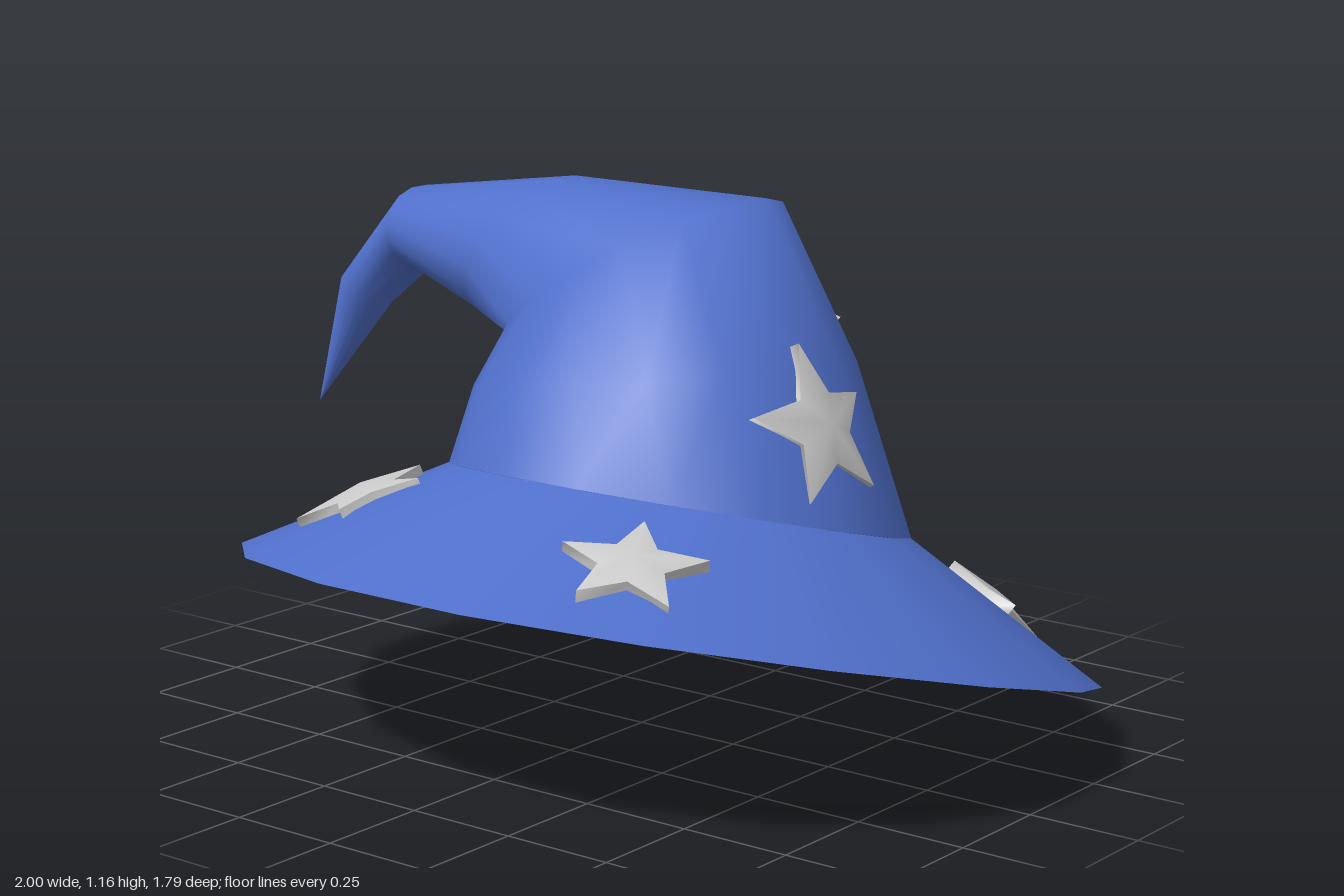
import * as THREE from 'three';

const SIDES = 16;
const TILT = 0.267;
const blue = new THREE.MeshStandardMaterial({ color: 0x5070cc });
const grey = new THREE.MeshStandardMaterial({ color: 0xcccccc });

// Skin over oval sections: { c: centre, u: first half-axis, v: second half-axis, lift: raise at both sides }
function loft(name, sections) {
  const pos = [], index = [];
  sections.forEach(({ c, u, v, lift = 0 }, i) => {
    for (let j = 0; j < SIDES; j++) {
      const a = ((j + 0.5) / SIDES) * Math.PI * 2, ca = Math.cos(a), sa = Math.sin(a);
      for (let k = 0; k < 3; k++) {
        pos.push(c[k] + u[k] * ca + v[k] * sa + (k === 1 ? lift * ca * ca : 0));
      }
      if (i + 1 < sections.length) {
        const p = i * SIDES + j, q = i * SIDES + (j + 1) % SIDES;
        index.push(p, p + SIDES, q, q, p + SIDES, q + SIDES);
      }
    }
  });
  const geo = new THREE.BufferGeometry();
  geo.setAttribute('position', new THREE.Float32BufferAttribute(pos, 3));
  geo.setIndex(index);
  geo.computeVertexNormals();
  const mesh = new THREE.Mesh(geo, blue);
  mesh.name = name;
  return mesh;
}

// Level round section for the brim
const ring = (r, y, z = 0, lift = 0) => ({ c: [0, y, z], u: [r, 0, 0], v: [0, 0, r], lift });

// Five-pointed star with a raised middle, bent backwards around a surface of radius bend
function star(name, size, bend, position, normal, tip) {
  const pos = [], index = [];
  const add = (x, y, z) => pos.push(x, y, z - (x * x) / (2 * bend));
  const outline = (z) => {
    for (let i = 0; i < 10; i++) {
      const a = Math.PI / 2 + (i * Math.PI) / 5, r = i % 2 ? size * 0.45 : size;
      add(r * Math.cos(a), r * Math.sin(a), z);
    }
  };
  add(0, 0, 0.04);
  outline(0.02); // face
  outline(0.02); // side, top edge
  outline(-0.03); // side, lower edge
  for (let i = 0; i < 10; i++) {
    const n = (i + 1) % 10;
    index.push(0, 1 + i, 1 + n);
    index.push(11 + i, 21 + i, 11 + n, 11 + n, 21 + i, 21 + n);
  }
  const geo = new THREE.BufferGeometry();
  geo.setAttribute('position', new THREE.Float32BufferAttribute(pos, 3));
  geo.setIndex(index);
  geo.computeVertexNormals();
  const mesh = new THREE.Mesh(geo, grey);
  const z = new THREE.Vector3(...normal).normalize();
  const x = new THREE.Vector3(...tip).cross(z).normalize();
  const y = z.clone().cross(x);
  mesh.quaternion.setFromRotationMatrix(new THREE.Matrix4().makeBasis(x, y, z));
  mesh.position.set(...position);
  mesh.name = name;
  return mesh;
}

export function createModel() {
  const hat = new THREE.Group();
  hat.name = 'wizardHat';

  // Tilted brim, hollow underneath
  const brim = new THREE.Group();
  brim.name = 'brim';
  brim.position.set(0.072, 0.247, 0);
  brim.rotation.x = -TILT;
  const rim = ring(0.948, 0, 0, 0.02);
  brim.add(loft('brimTop', [rim, ring(0.507, 0.264, 0.03)]));
  brim.add(loft('brimUnderside', [ring(0.33, 0.2, 0.02), ring(0.515, 0.085, 0.01), rim]));
  brim.add(loft('innerLining', [ring(0, 0.6), ring(0.26, 0.52), ring(0.33, 0.2, 0.02)]));

  // Stars on the brim: [x, z, tip x, tip z, size]
  [
    [0.36, 0.64, 0, 1, 0.155],
    [-0.46, 0.515, 0.35, -1, 0.155],
    [0.44, -0.57, -0.25, -1, 0.145],
    [-0.7, -0.1, 0.05, -1, 0.17],
  ].forEach(([x, z, tx, tz, size]) => {
    const r = Math.hypot(x, z);
    const h = 0.6 * (0.948 - r) + 0.005;
    brim.add(star('brimStar', size, 1.5, [x, h, z], [x / r * 0.52, 0.86, z / r * 0.52], [tx, 0, tz]));
  });
  hat.add(brim);

  // Crown that folds over sideways and ends in a drooping point
  const s = 0.507 * Math.sin(TILT), c = 0.507 * Math.cos(TILT);
  hat.add(loft('crown', [
    { c: [0.072, 0.51, -0.04], u: [0.507, 0, 0], v: [0, s, c] },
    { c: [0.015, 0.78, -0.06], u: [0.41, 0.065, 0], v: [0, 0.04, 0.425] },
    { c: [-0.09, 0.99, -0.125], u: [0.285, 0.175, 0], v: [0, 0, 0.33] },
    { c: [-0.43, 1.005, -0.15], u: [0.095, 0.16, 0], v: [0, 0, 0.21] },
    { c: [-0.74, 1.018, -0.13], u: [-0.01, 0.09, 0], v: [0, 0, 0.125] },
    { c: [-0.89, 0.855, -0.1], u: [-0.052, 0.036, 0], v: [0, 0, 0.07] },
    { c: [-1, 0.585, -0.05], u: [0, 0, 0], v: [0, 0, 0] },
  ]));

  // Stars around the crown
  const up = [0, 1, 0];
  hat.add(star('crownStarFront', 0.185, 0.45, [0.05, 0.87, 0.27], [0.05, 0.58, 0.81], up));
  hat.add(star('crownStarLeft', 0.18, 0.45, [0.465, 0.73, 0], [0.9, 0.4, 0.05], up));
  hat.add(star('crownStarBack', 0.17, 0.45, [0.06, 0.82, -0.47], [0.15, 0.12, -1], up));
  return hat;
}
